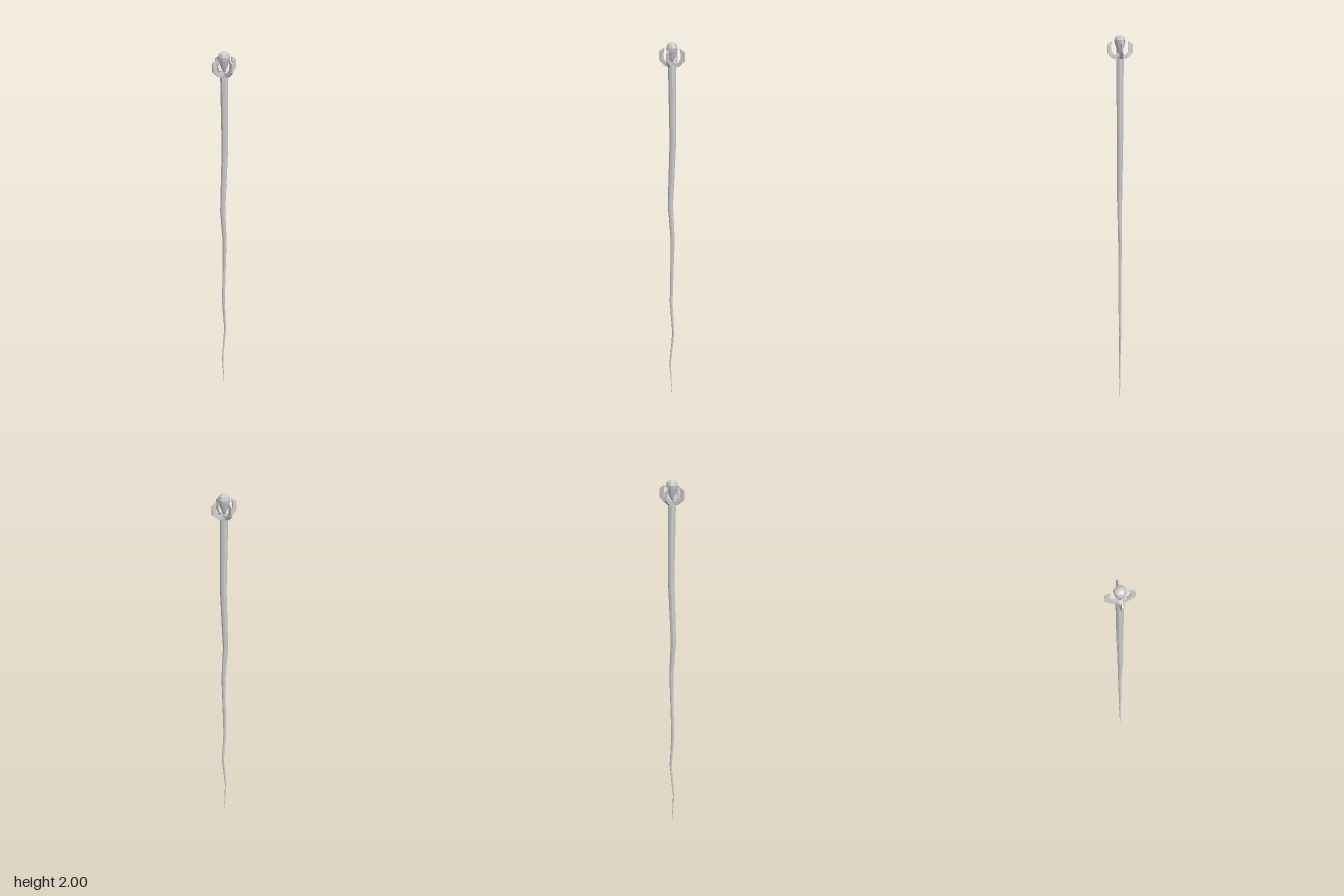
import * as THREE from 'three';

const material = new THREE.MeshStandardMaterial({ color: 0xcccccc, flatShading: true });

// Skins equal-sized rings of points (counter-clockwise seen from the far end) and caps both ends
function loft(rings) {
  const n = rings[0].length;
  const last = (rings.length - 1) * n;
  const index = [];
  for (let r = 0; r < rings.length - 1; r++) {
    for (let i = 0; i < n; i++) {
      const a = r * n + i, b = r * n + (i + 1) % n;
      index.push(a, b, b + n, a, b + n, a + n);
    }
  }
  for (let i = 1; i < n - 1; i++) {
    index.push(0, i + 1, i, last, last + i, last + i + 1);
  }
  const geometry = new THREE.BufferGeometry();
  geometry.setAttribute('position', new THREE.Float32BufferAttribute(rings.flat(2), 3));
  geometry.setIndex(index);
  const flat = geometry.toNonIndexed();
  flat.computeVertexNormals();
  return flat;
}

function addPart(parent, name, geometry) {
  const mesh = new THREE.Mesh(geometry, material);
  mesh.name = name;
  parent.add(mesh);
  return mesh;
}

export function createModel() {
  const staff = new THREE.Group();
  staff.name = 'staff';

  // Crooked tapering shaft: height, radius, sideways bend in z
  const shaftSections = [
    [0, 0.001, 0], [0.19, 0.004, 0.011], [0.39, 0.006, -0.008], [0.58, 0.008, 0.005],
    [0.78, 0.009, 0], [0.96, 0.011, -0.004], [1.15, 0.014, 0.009],
    [1.5, 0.017, -0.005], [1.89, 0.02, 0],
  ];
  const sides = 8;
  addPart(staff, 'shaft', loft(shaftSections.map(([y, r, z]) =>
    Array.from({ length: sides }, (_, i) => {
      const a = (i + 0.5) / sides * Math.PI * 2;
      return [r * Math.sin(a), y, z + r * Math.cos(a)];
    }))));

  // Faceted teardrop gem
  const gemProfile = [
    [0, 1.893], [0.008, 1.905], [0.018, 1.93], [0.026, 1.955],
    [0.029, 1.972], [0.024, 1.989], [0.012, 1.997], [0, 2],
  ].map(([r, y]) => new THREE.Vector2(r, y));
  addPart(staff, 'gem', new THREE.LatheGeometry(gemProfile, 10));

  // Four curved claws: outer radius, outer height, inner radius, inner height, half width
  const clawSections = [
    [0.01, 1.876, 0.008, 1.9, 0.008],
    [0.034, 1.88, 0.029, 1.897, 0.007],
    [0.067, 1.908, 0.046, 1.918, 0.005],
    [0.068, 1.952, 0.047, 1.942, 0.004],
    [0.043, 1.969, 0.041, 1.965, 0.002],
  ];
  const clawGeometry = loft(clawSections.map(([ro, yo, ri, yi, w]) =>
    [[ro, yo, w], [ro, yo, -w], [ri, yi, -w], [ri, yi, w]]));
  const claws = new THREE.Group();
  claws.name = 'claws';
  staff.add(claws);
  for (let i = 0; i < 4; i++) {
    addPart(claws, 'claw', clawGeometry).rotation.y = i * Math.PI / 2;
  }

  return staff;
}
